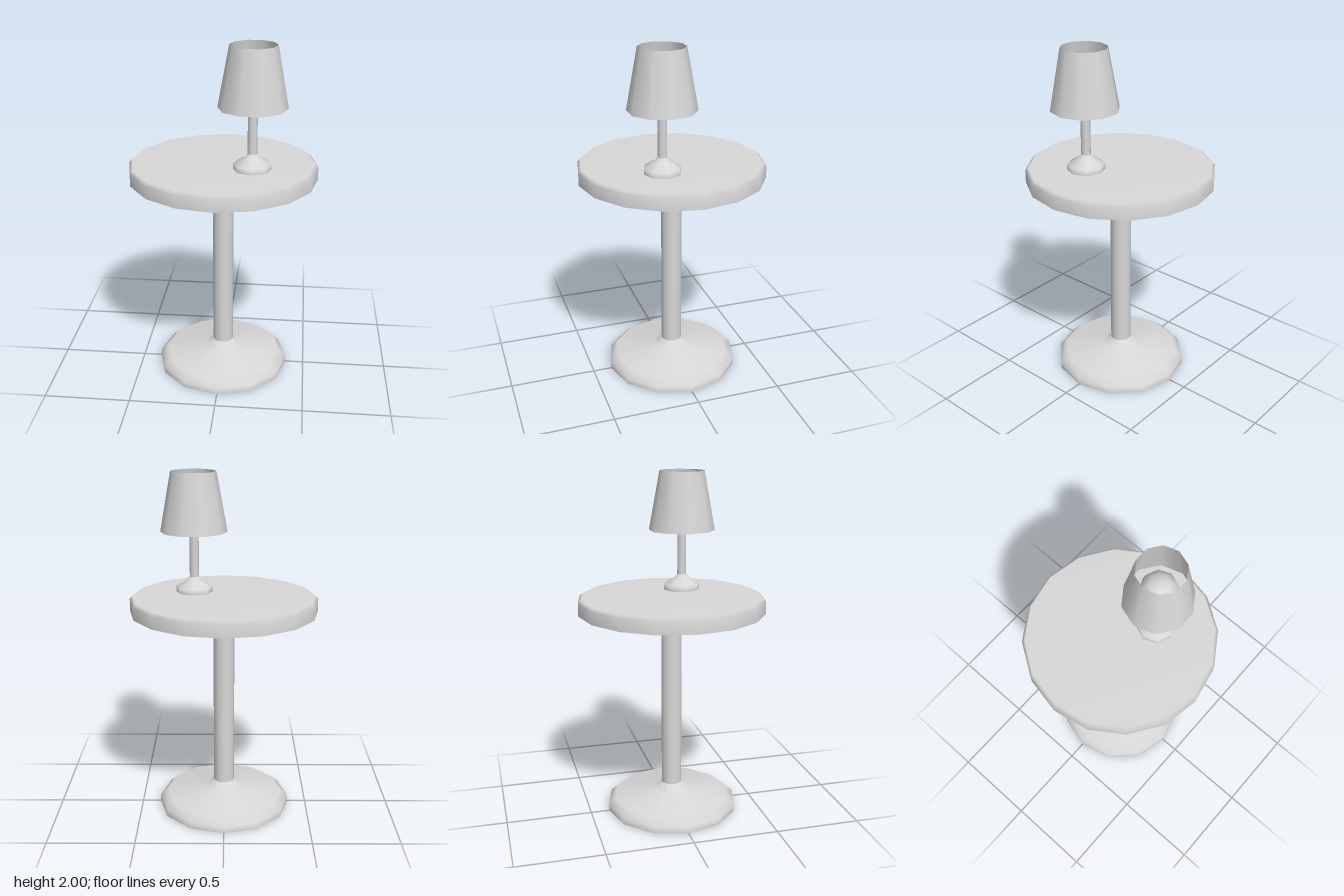
import * as THREE from 'three';

const paint = new THREE.MeshStandardMaterial({ color: 0xd8d8d8 });
paint.name = 'pale grey';
const shadePaint = paint.clone();
shadePaint.name = 'pale grey shade';
shadePaint.side = THREE.DoubleSide;

// Turned part: profile is a list of [radius, height] from bottom to top
function turned(name, profile, sides, material = paint, start = 0) {
  const points = profile.map(([r, y]) => new THREE.Vector2(r, y));
  const mesh = new THREE.Mesh(new THREE.LatheGeometry(points, sides, start), material);
  mesh.name = name;
  return mesh;
}

export function createModel() {
  const model = new THREE.Group();
  model.name = 'tableWithLamp';

  // Pedestal: flat underside, sloping foot and column flaring out under the top
  const pedestal = new THREE.Group();
  pedestal.name = 'pedestal';
  pedestal.add(
    turned('footUnderside', [[0, 0], [0.39, 0]], 12),
    turned('foot', [[0.39, 0], [0.39, 0.04], [0.345, 0.08], [0.11, 0.11], [0.061, 0.155]], 12),
    turned('column', [[0.061, 0.155], [0.061, 1.17]], 12),
    turned('columnFlare', [[0.061, 1.17], [0.125, 1.214], [0.125, 1.22]], 12),
  );

  // Round table top with a softened upper rim
  const top = new THREE.Group();
  top.name = 'tableTop';
  top.add(
    turned('topUnderside', [[0, 1.22], [0.54, 1.22]], 16),
    turned('topSlab', [[0.54, 1.22], [0.54, 1.293], [0.522, 1.31], [0, 1.31]], 16),
  );

  // Lamp standing off-centre on the table
  const lamp = new THREE.Group();
  lamp.name = 'lamp';
  const bulb = new THREE.Mesh(new THREE.SphereGeometry(0.107, 8, 6), paint);
  bulb.name = 'bulb';
  bulb.position.y = 1.76;
  lamp.add(
    turned('lampBase', [[0.107, 1.31], [0.107, 1.342], [0.045, 1.378], [0.027, 1.4]], 8),
    turned('lampStem', [[0.027, 1.4], [0.027, 1.67]], 8),
    bulb,
    turned('lampShade', [[0.193, 1.66], [0.13, 2]], 10, shadePaint, Math.PI / 2),
  );
  lamp.position.set(0.172, 0, 0.107);

  model.add(pedestal, top, lamp);
  return model;
}
